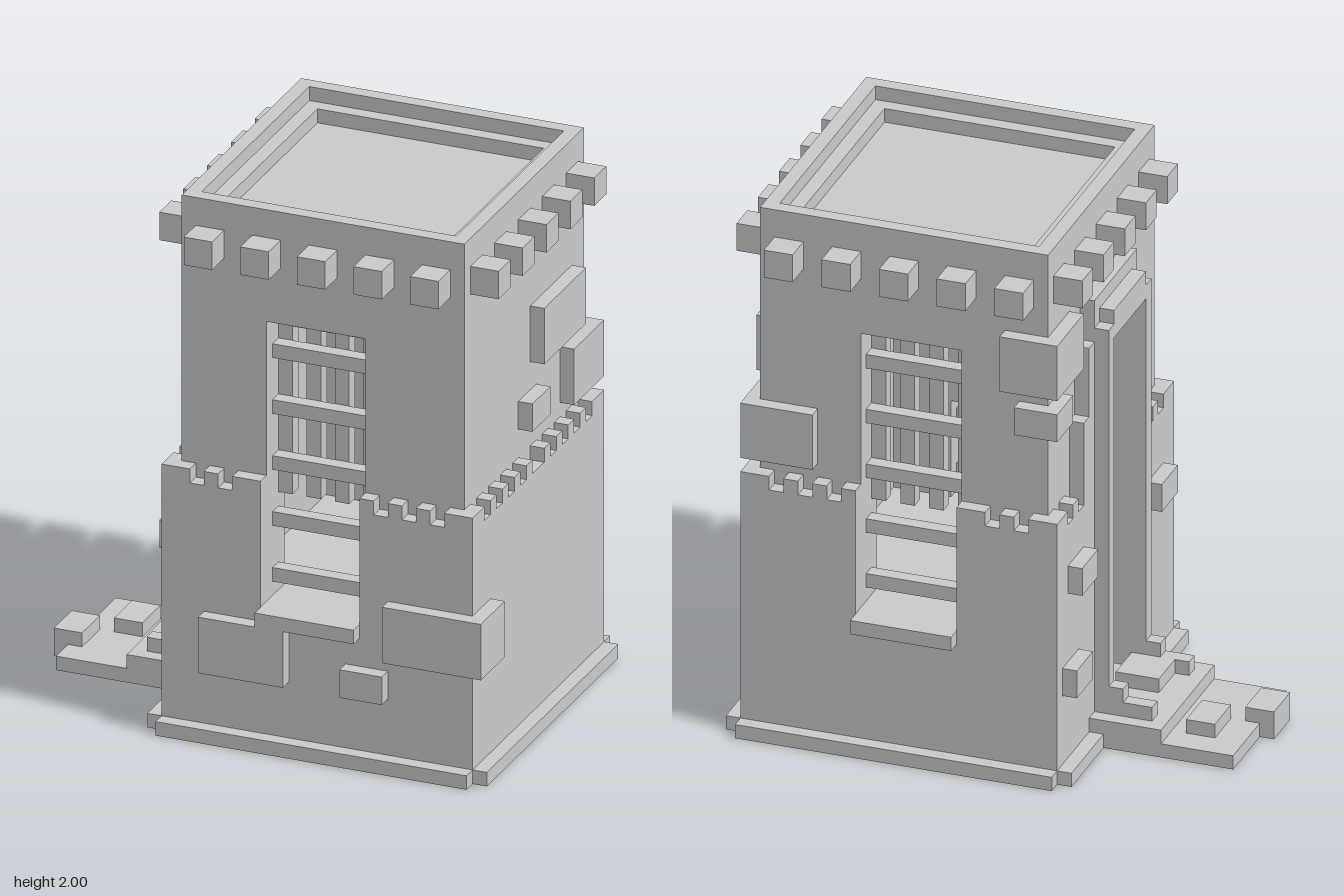
import * as THREE from 'three';

const U = 2 / 38; // one block unit
const material = new THREE.MeshStandardMaterial({ color: 0xcccccc, flatShading: true });

export function createModel() {
  const model = new THREE.Group();
  model.name = 'tower';

  // Box from its limits, in block units
  const box = (name, x0, x1, y0, y1, z0, z1, parent = model) => {
    const mesh = new THREE.Mesh(new THREE.BoxGeometry((x1 - x0) * U, (y1 - y0) * U, (z1 - z0) * U), material);
    mesh.position.set((x0 + x1) / 2 * U, (y0 + y1) / 2 * U, (z0 + z1) / 2 * U);
    mesh.name = name;
    parent.add(mesh);
  };
  // The same box on the front (+z) and the back (-z)
  const pair = (name, x0, x1, y0, y1, z0, z1, parent) => {
    box(name, x0, x1, y0, y1, z0, z1, parent);
    box(name, x0, x1, y0, y1, -z1, -z0, parent);
  };
  const group = (name) => {
    const g = new THREE.Group();
    g.name = name;
    model.add(g);
    return g;
  };

  // Base with notched corners
  const base = group('base');
  box('basePlate', -7, 17, 0, 1, -11, 11, base);
  pair('baseEdge', -6, 16, 0, 1, 11, 12, base);

  // Main walls around a hollow room
  const walls = group('walls');
  pair('wallPier', -5, 1, 1, 30, 7, 10, walls);
  pair('wallPier', 8, 15, 1, 30, 7, 10, walls);
  box('rightWall', 12, 15, 1, 30, -7, 7, walls);
  pair('doorSideWall', -5, -2, 1, 30, 3, 7, walls);
  box('doorHead', -5, -2, 29, 30, -3, 3, walls);
  box('doorThreshold', -6, -2, 1, 2, -3, 3, walls);
  box('doorPanel', -3, -2, 2, 29, -3, 3, walls);
  box('floor', -2, 12, 1, 10, -7, 7, walls);
  pair('windowBase', 1, 8, 1, 10, 7, 11, walls);
  box('upperBlock', -5, 15, 30, 36, -10, 10, walls);

  // Roof rim with an inner ledge
  const roof = group('roof');
  pair('rim', -5, 15, 36, 38, 9, 10, roof);
  box('rim', -5, -4, 36, 38, -9, 9, roof);
  box('rim', 14, 15, 36, 38, -9, 9, roof);
  pair('ledge', -4, 14, 36, 37, 8, 9, roof);
  box('ledge', -4, -3, 36, 37, -8, 8, roof);
  box('ledge', 13, 14, 36, 37, -8, 8, roof);

  // Beam ends below the roof
  const beams = group('beamEnds');
  for (let i = -2; i <= 2; i++) {
    pair('beamEnd', 4 + i * 4, 6 + i * 4, 34, 36, 10, 12, beams);
    box('beamEnd', -7, -5, 34, 36, i * 4 - 1, i * 4 + 1, beams);
    box('beamEnd', 15, 17, 34, 36, i * 4 - 1, i * 4 + 1, beams);
  }

  // Thicker lower wall with toothed top
  const skirt = group('lowerWall');
  pair('skirt', -6, 1, 1, 18, 10, 11, skirt);
  pair('skirt', 8, 16, 1, 18, 10, 11, skirt);
  box('skirt', 15, 16, 1, 18, -10, 10, skirt);
  pair('skirt', -6, -5, 1, 18, 3, 10, skirt);
  for (const [a, b] of [[-6, -4], [-3, -2], [-1, 1], [8, 9], [10, 11], [12, 13], [14, 16]])
    pair('tooth', a, b, 18, 19, 10, 11, skirt);
  for (const [a, b] of [[1, 2], [3, 4], [5, 6], [7, 8], [9, 10]]) {
    pair('tooth', 15, 16, 18, 19, a, b, skirt);
    if (a >= 5) pair('tooth', -6, -5, 18, 19, a, b, skirt);
  }

  // Barred windows, front and back
  const grille = group('windowBars');
  for (let y = 11; y <= 27; y += 4) pair('crossBar', 1, 8, y, y + 1, 8, 9, grille);
  for (let x = 1; x <= 7; x += 2) pair('uprightBar', x, x + 1, 17, 30, 7, 8, grille);
  pair('topBar', 1, 8, 29, 30, 7, 8, grille);
  pair('windowSill', 1, 8, 9, 10, 11, 12, grille);

  // Stepped door frame and rungs
  const door = group('doorway');
  pair('jamb', -7, -5, 2, 30, 3, 4, door);
  pair('outerJamb', -6, -5, 2, 29, 4, 5, door);
  pair('outerStrip', -6, -5, 18, 24, 5, 6, door);
  box('lintel', -7, -5, 29, 31, -3, 3, door);
  box('lintelCap', -6, -5, 30, 32, -4, 4, door);
  for (let y = 3; y <= 27; y += 4) box('rung', -4, -3, y, y + 1, -3, 3, door);

  // Entrance platform, steps and loose stones
  const entrance = group('entrance');
  box('platform', -16, -7, 0, 1, -5, 5, entrance);
  box('upperStep', -11, -6, 1, 2, -5, 5, entrance);
  pair('jambFoot', -10, -7, 2, 3, 3, 4, entrance);
  pair('jambFoot', -8, -7, 3, 4, 3, 4, entrance);
  box('brokenStep', -9, -6, 2, 3, 0, 3, entrance);
  box('looseStone', -14, -12, 1, 2, -3, 0, entrance);
  box('looseStone', -17, -15, 0, 2, 0, 3, entrance);

  // Raised stones on the faces and around corners
  const stones = group('raisedStones');
  const stoneList = [
    [-3, 3, 5, 9, 11, 12], [7, 10, 5, 7, 11, 12],           // front
    [10, 17, 8, 12, 11, 12], [16, 17, 8, 12, 8, 11],        // front right corner
    [15, 16, 25, 29, -8, -1], [15, 16, 21, 23, -2, 1],      // right
    [15, 16, 20, 24, -11, -6], [11, 15, 20, 24, -11, -10],  // back right corner
    [-6, -5, 28, 32, -11, -6], [-5, -2, 28, 32, -11, -10],  // back left corner
    [-6, -5, 25, 27, -11, -8], [-5, -3, 25, 27, -11, -10],
    [-7, -6, 13, 15, -9, -6], [-7, -6, 6, 8, -10, -7], [-7, -6, 12, 14, 6, 9], // door side
  ];
  for (const s of stoneList) box('raisedStone', ...s, stones);

  return model;
}
